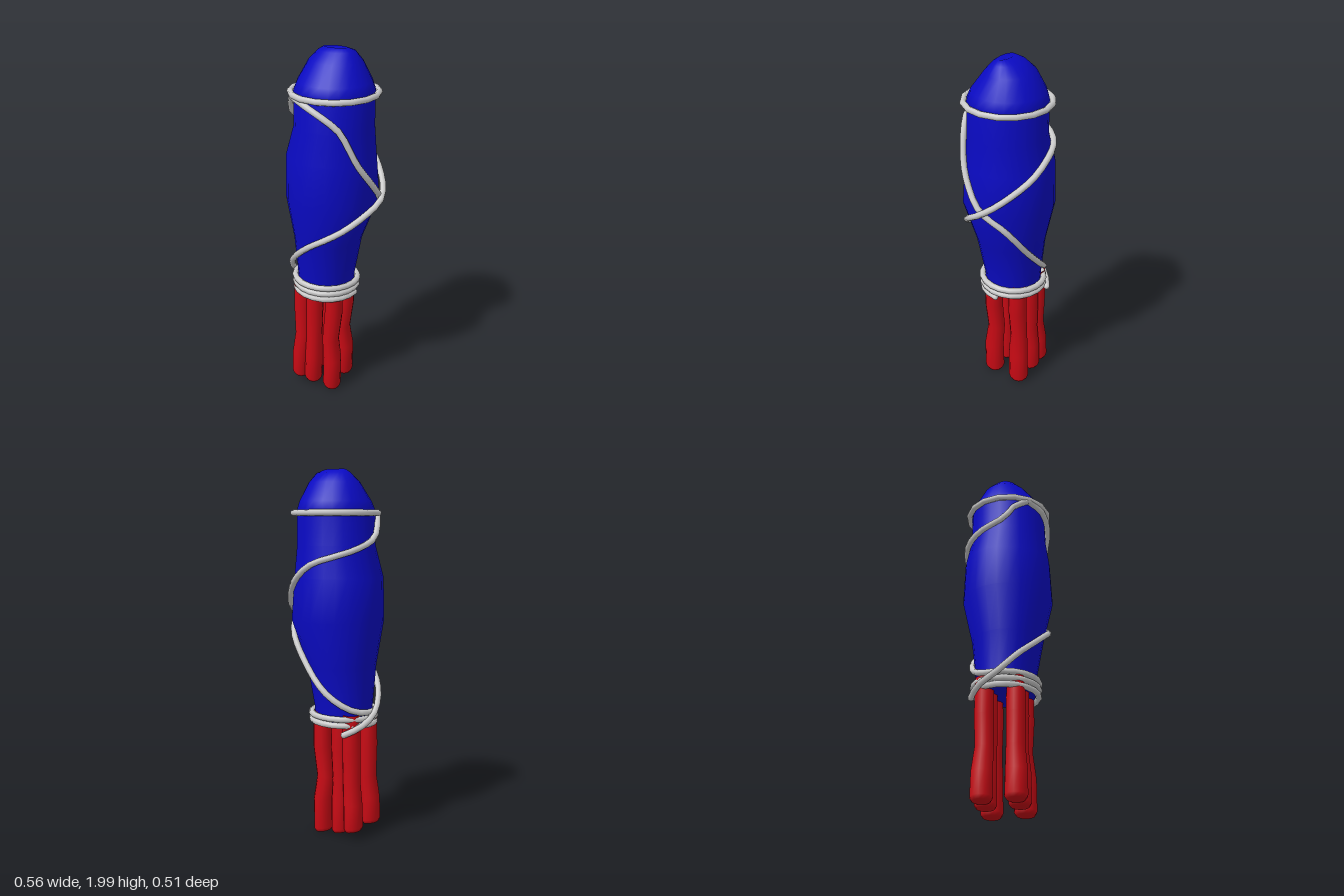
import * as THREE from 'three';

const RAD = Math.PI / 180;
const material = (color) => new THREE.MeshStandardMaterial({ color, side: THREE.DoubleSide });

// Skin over elliptical rings, bottom to top: [y, centreX, radiusX, centreZ, radiusZ, tilt]
function loft(rings, sides) {
  const pos = [], index = [];
  rings.forEach(([y, cx, rx, cz, rz, tilt = 0], i) => {
    for (let j = 0; j < sides; j++) {
      const a = (j / sides) * Math.PI * 2, x = cx + rx * Math.sin(a);
      pos.push(x, y + tilt * (x - cx), cz + rz * Math.cos(a));
      if (i === rings.length - 1) continue;
      const p = i * sides + j, q = i * sides + ((j + 1) % sides);
      index.push(p, q, q + sides, p, q + sides, p + sides);
    }
  });
  const g = new THREE.BufferGeometry();
  g.setAttribute('position', new THREE.Float32BufferAttribute(pos, 3));
  g.setIndex(index);
  g.computeVertexNormals();
  return g;
}

// Body outline
const BODY = [
  [0.63, -0.06, 0.155, 0.01, 0.155],
  [0.72, -0.06, 0.16, 0.01, 0.16],
  [0.95, -0.045, 0.187, 0.015, 0.195],
  [1.2, -0.02, 0.255, 0.01, 0.25],
  [1.43, -0.027, 0.243, 0.01, 0.24],
  [1.6, -0.008, 0.213, 0.012, 0.213],
  [1.78, -0.008, 0.213, 0.01, 0.212],
  [1.83, -0.008, 0.195, 0.005, 0.195],
  [1.93, -0.008, 0.142, -0.005, 0.128],
  [1.98, 0, 0.1, 0, 0.075],
  [2.0, 0, 0.065, 0.015, 0.03],
];

// Point lying just outside the body at a height and an angle (0 = front, 90 = +x)
function onBody(angle, y, lift = 0.014) {
  let i = 0;
  while (i < BODY.length - 2 && BODY[i + 1][0] < y) i++;
  const t = Math.max(0, (y - BODY[i][0]) / (BODY[i + 1][0] - BODY[i][0]));
  const [, cx, rx, cz, rz] = BODY[i].map((v, k) => THREE.MathUtils.lerp(v, BODY[i + 1][k], t));
  const a = angle * RAD;
  return new THREE.Vector3(cx + (rx + lift) * Math.sin(a), y, cz + (rz + lift) * Math.cos(a));
}

export function createModel() {
  const group = new THREE.Group();
  const blue = material(0x0a0ac4), red = material(0xc80a14), grey = material(0xcccccc);
  const add = (name, geometry, mat) => {
    const mesh = new THREE.Mesh(geometry, mat);
    mesh.name = name;
    group.add(mesh);
  };

  // Wrapped body with closed ends and a slight dip on top
  add('body', loft([
    [0.63, -0.06, 0, 0.01, 0], BODY[0], ...BODY, [1.988, 0, 0, 0.015, 0],
  ], 24), blue);

  // Two rows of three strips hanging below, bent at mid height, cut at a slant
  const columns = [
    { top: -0.17, mid: -0.172, low: -0.19, y: 0.05 },
    { top: -0.098, mid: -0.105, low: -0.11, y: 0.033 },
    { top: 0.022, mid: 0, low: 0.01, y: 0.014 },
  ];
  for (const { top, mid, low, y } of columns) {
    for (const s of [1, -1]) {
      const z = s * 0.084 + 0.006, r = 0.05, cut = -0.15;
      add('strip', loft([
        [y, low, 0, z + s * 0.004, 0, cut],
        [y, low, r * 0.8, z + s * 0.004, r * 0.95, cut],
        [y + 0.02, low, r, z + s * 0.004, r * 1.2, cut],
        [0.2, low + 0.004, r, z + s * 0.004, r * 1.15],
        [0.33, mid, r * 0.95, z - s * 0.003, r],
        [0.5, top - 0.002, r, z, r * 1.05],
        [0.7, top, r * 0.95, z, r],
      ], 12), red);
    }
  }

  // Ropes
  const rope = (name, points, segments, closed = false) => {
    const curve = new THREE.CatmullRomCurve3(points, closed);
    const geometry = new THREE.TubeGeometry(curve, segments, 0.017, 8, closed);
    add(name, geometry, grey);
    if (closed) return;
    for (const p of [points[0], points[points.length - 1]]) {
      add('ropeEnd', new THREE.SphereGeometry(0.017, 8, 6).translate(p.x, p.y, p.z), grey);
    }
  };

  const ring = [];
  for (let a = 0; a < 360; a += 22.5) ring.push(onBody(a, 1.77, 0.018));
  rope('topRopeRing', ring, 16, true);

  // Descending rope that ends in a coil around the foot of the body
  const down = [[-45, 1.76], [-15, 1.735], [12, 1.68], [30, 1.62], [55, 1.44], [73, 1.33], [90, 1.24],
    [120, 1.13], [150, 0.95], [185, 0.82], [220, 0.74]].map(([a, y]) => onBody(a, y));
  for (let a = 250; a <= 1170; a += 23) {
    down.push(onBody(a, 0.71 - ((a - 250) / 920) * 0.088, 0.018));
  }
  rope('descendingRope', down, 80);

  // Second rope, crossing over the first and ending in a loose tail
  const cross = [[-45, 1.765], [-68, 1.71], [-82, 1.64], [-120, 1.58], [-150, 1.545], [-180, 1.505],
    [-210, 1.42], [-250, 1.285, 0.02], [-272, 1.215, 0.03], [-290, 1.16, 0.02], [-318, 1.075],
    [-345, 1.01], [-362, 0.97], [-390, 0.89], [-420, 0.8, 0.025], [-450, 0.7, 0.04],
    [-480, 0.64, 0.05], [-505, 0.6, 0.04]].map(([a, y, lift]) => onBody(a, y, lift));
  rope('crossingRope', cross, 40);

  return group;
}
